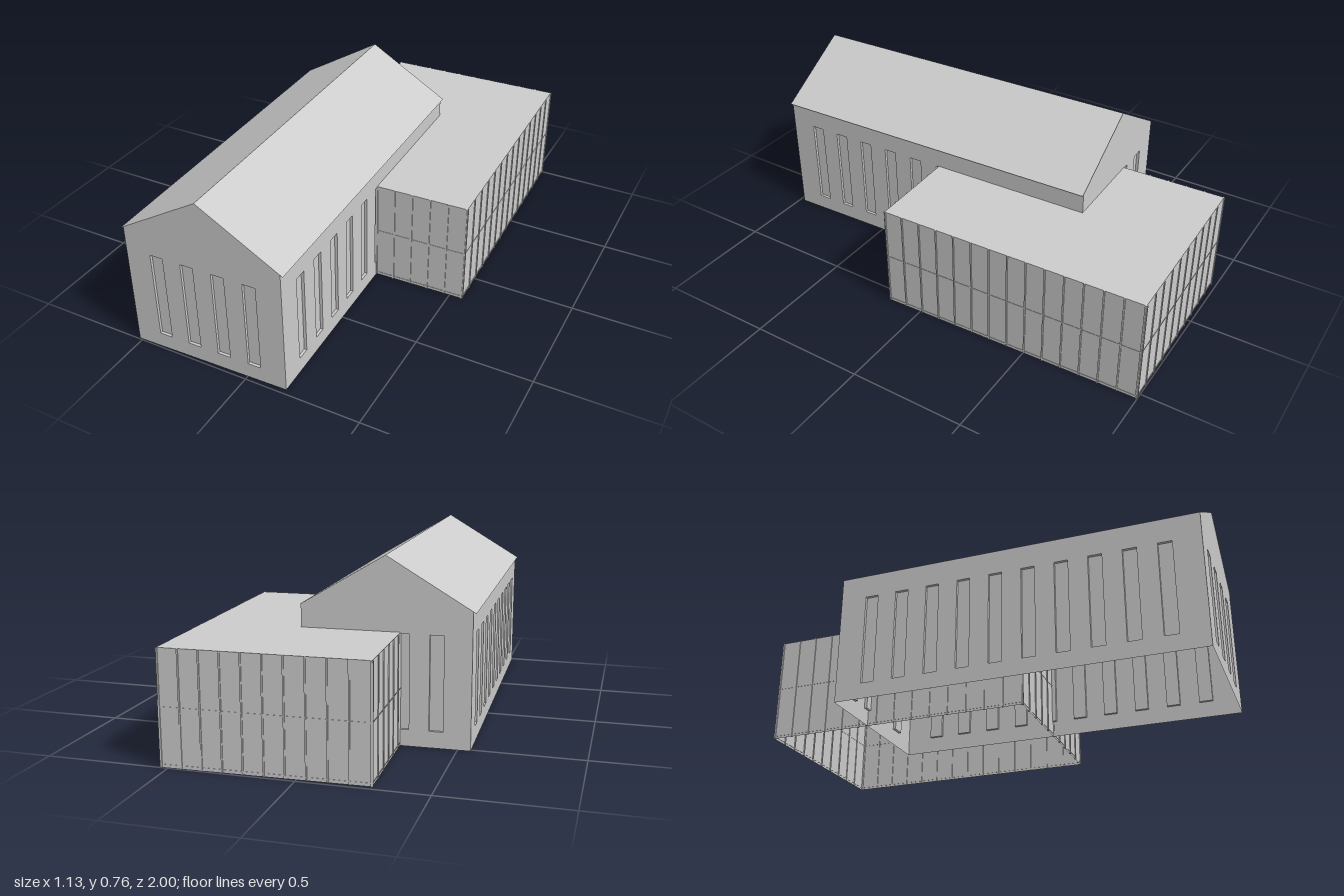
import * as THREE from 'three';
import { mergeGeometries } from 'three/addons/utils/BufferGeometryUtils.js';

const plaster = new THREE.MeshStandardMaterial({ color: 0xcccccc, side: THREE.DoubleSide });
plaster.name = 'pale grey plaster';

const TILT = 0.0255;
const HALL = { w: 0.343, l: 0.755, wallTop: 0.555, ridge: 0.76, eaveX: 0.355, eaveY: 0.548, roofL: 0.757 };
const WIN = { w: 0.056, bottom: 0.068, top: 0.455, depth: 0.012, step: 0.1365 };
const ANNEX = { w: 0.405, l: 0.577, h: 0.46 };

function mesh(name, geometry, parent) {
  const m = new THREE.Mesh(geometry, plaster);
  m.name = name;
  parent.add(m);
  return m;
}

// Wall outline with a row of window openings, each backed by a recessed pane
function windowWall(outline, count) {
  const shape = new THREE.Shape(outline.map(([x, y]) => new THREE.Vector2(x, y)));
  const h = WIN.top - WIN.bottom;
  const recesses = [];
  for (let i = 0; i < count; i++) {
    const x = (i - (count - 1) / 2) * WIN.step, r = WIN.w / 2;
    shape.holes.push(new THREE.Path([
      new THREE.Vector2(x - r, WIN.bottom), new THREE.Vector2(x - r, WIN.top),
      new THREE.Vector2(x + r, WIN.top), new THREE.Vector2(x + r, WIN.bottom),
    ]));
    // open-fronted box, turned inside out so its inner faces look outward
    const box = new THREE.BoxGeometry(WIN.w, h, WIN.depth);
    const idx = Array.from(box.index.array);
    box.setIndex([...idx.slice(0, 24), ...idx.slice(30)].reverse());
    box.clearGroups();
    const n = box.attributes.normal;
    for (let k = 0; k < n.array.length; k++) n.array[k] *= -1;
    box.translate(x, (WIN.bottom + WIN.top) / 2, -WIN.depth / 2);
    recesses.push(box);
  }
  return { wall: new THREE.ShapeGeometry(shape), recess: mergeGeometries(recesses) };
}

function addWindowWall(parent, name, outline, count, x, z, turn) {
  const g = new THREE.Group();
  g.name = name;
  g.position.set(x, 0, z);
  g.rotation.y = turn;
  const { wall, recess } = windowWall(outline, count);
  mesh(name + 'Face', wall, g);
  mesh(name + 'Windows', recess, g);
  parent.add(g);
}

function createHall() {
  const hall = new THREE.Group();
  hall.name = 'gabledHall';
  const { w, l, wallTop, ridge, eaveX, eaveY, roofL } = HALL;
  const gable = [[-w, 0], [w, 0], [w, wallTop], [0, ridge], [-w, wallTop]];
  const side = [[-l, 0], [l, 0], [l, wallTop], [-l, wallTop]];
  addWindowWall(hall, 'frontGable', gable, 4, 0, l, 0);
  addWindowWall(hall, 'backGable', gable, 4, 0, -l, Math.PI);
  addWindowWall(hall, 'leftWall', side, 10, w, 0, Math.PI / 2);
  addWindowWall(hall, 'rightWall', side, 10, -w, 0, -Math.PI / 2);

  // Two thin roof slopes meeting at the ridge
  const rise = ridge - eaveY;
  for (const s of [1, -1]) {
    const slope = new THREE.PlaneGeometry(Math.hypot(eaveX, rise), roofL * 2);
    slope.rotateX(-Math.PI / 2);
    slope.rotateZ(-s * Math.atan2(rise, eaveX));
    slope.translate(s * eaveX / 2, (ridge + eaveY) / 2, 0);
    mesh(s > 0 ? 'leftRoofSlope' : 'rightRoofSlope', slope, hall);
  }
  return hall;
}

function createAnnex() {
  const annex = new THREE.Group();
  annex.name = 'flatRoofedAnnex';
  const { w, l, h } = ANNEX;

  const roof = new THREE.PlaneGeometry(w * 2, l * 2);
  roof.rotateX(-Math.PI / 2);
  roof.translate(0, h, 0);
  mesh('annexRoof', roof, annex);

  // Four curtain walls with upright fins and slim rails
  const sides = [
    ['annexFront', w, 10, 0, l, 0], ['annexBack', w, 10, 0, -l, Math.PI],
    ['annexLeft', l, 14, w, 0, Math.PI / 2], ['annexRight', l, 14, -w, 0, -Math.PI / 2],
  ];
  for (const [name, half, bays, x, z, turn] of sides) {
    const g = new THREE.Group();
    g.name = name;
    g.position.set(x, 0, z);
    g.rotation.y = turn;
    const wall = new THREE.PlaneGeometry(half * 2, h);
    wall.translate(0, h / 2, 0);
    mesh(name + 'Wall', wall, g);
    const bars = [];
    for (let i = 0; i <= bays; i++) {
      const px = (-half + 0.003) + (i / bays) * (half * 2 - 0.006);
      bars.push(new THREE.BoxGeometry(0.006, h, 0.008).translate(px, h / 2, 0));
    }
    for (const y of [0.012, 0.235]) {
      bars.push(new THREE.BoxGeometry(half * 2, 0.004, 0.003).translate(0, y, 0));
    }
    mesh(name + 'Mullions', mergeGeometries(bars), g);
    annex.add(g);
  }
  return annex;
}

export function createModel() {
  const model = new THREE.Group();
  model.name = 'hallWithAnnex';
  const hall = createHall();
  hall.position.set(-0.19, 0, 0.232);
  hall.rotation.y = TILT;
  const annex = createAnnex();
  annex.position.set(0.138, 0, -0.411);
  annex.rotation.y = TILT;
  model.add(hall, annex);
  return model;
}
